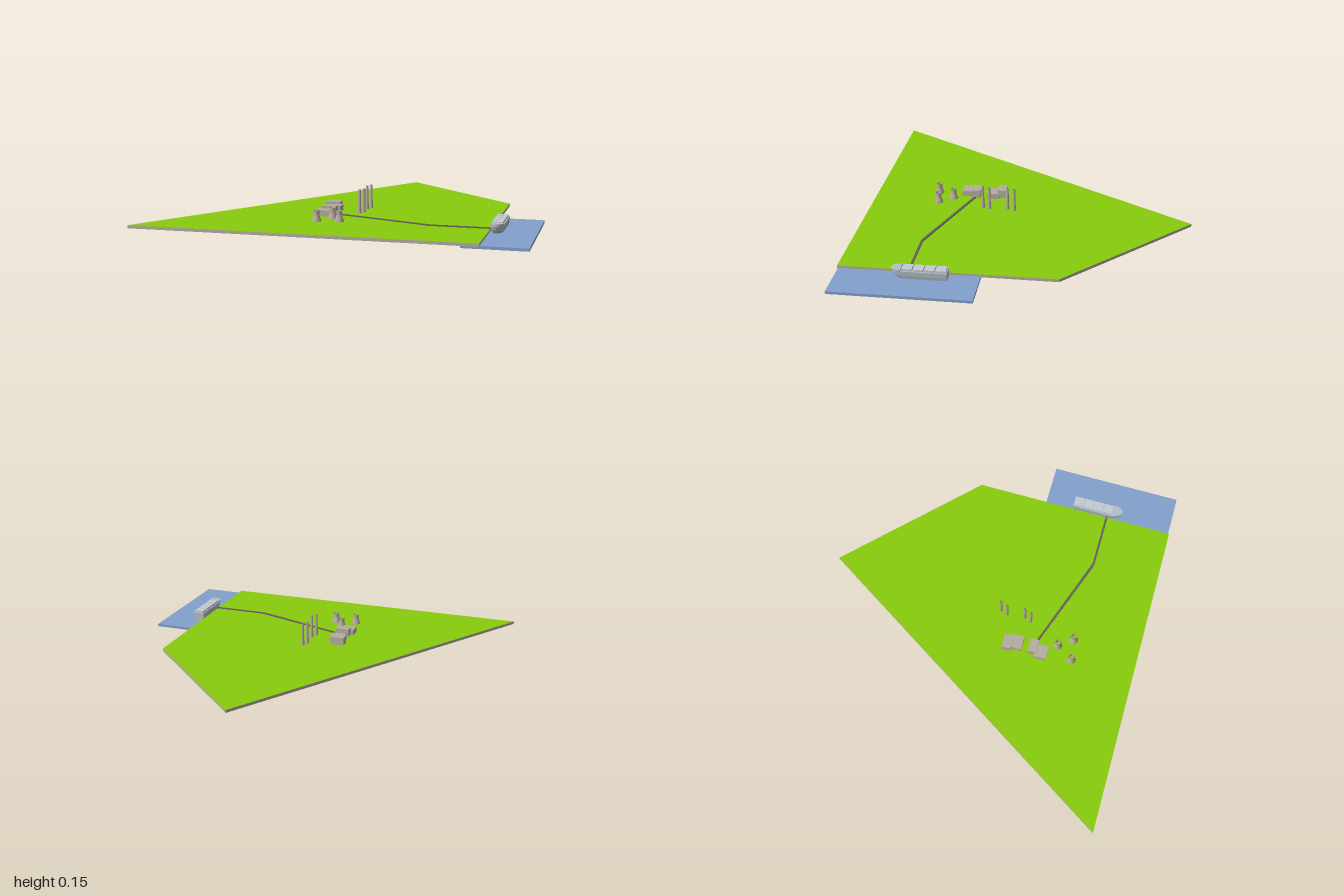
import * as THREE from 'three';

const mat = (color, extra = {}) => new THREE.MeshStandardMaterial({ color, ...extra });
const stone = mat(0xb5ada0);
const grass = mat(0x88cc0c);
const water = mat(0x82a0cc);
const roadGrey = mat(0x66625e);
const hullGrey = mat(0xb4bfc8);
const cargoGrey = mat(0xc4cbd2);

function add(parent, name, geometry, material, x = 0, y = 0, z = 0) {
  const mesh = new THREE.Mesh(geometry, material);
  mesh.name = name;
  mesh.position.set(x, y, z);
  parent.add(mesh);
  return mesh;
}

// Box given by its limits on each axis
function block(parent, name, material, [x0, x1], [y0, y1], [z0, z1]) {
  return add(parent, name, new THREE.BoxGeometry(x1 - x0, y1 - y0, z1 - z0), material,
    (x0 + x1) / 2, (y0 + y1) / 2, (z0 + z1) / 2);
}

// Flat slab from a plan outline of [x, z] points, standing on y0
function slab(parent, name, plan, y0, y1, materials) {
  const shape = new THREE.Shape(plan.map(([x, z]) => new THREE.Vector2(x, -z)));
  const geometry = new THREE.ExtrudeGeometry(shape, { depth: y1 - y0, bevelEnabled: false });
  geometry.rotateX(-Math.PI / 2);
  return add(parent, name, geometry, materials, 0, y0, 0);
}

// Hollow tower turned from [radius, y] points
function turned(parent, name, profile, x, z, sides) {
  const points = profile.map(([r, y]) => new THREE.Vector2(r, y));
  add(parent, name, new THREE.LatheGeometry(points, sides),
    mat(0xb5ada0, { side: THREE.DoubleSide }), x, 0, z);
}

// Ship hull: rounded bow at +z, square stern, narrowing towards the keel
function hullGeometry() {
  const rings = [[0.013, 0.84, 0.565], [0.03, 0.95, 0.58], [0.056, 1, 0.592]];
  const steps = 10;
  const count = steps + 3;
  const positions = [];
  const index = [];
  for (const [y, widen, bow] of rings) {
    const half = 0.033 * widen;
    positions.push(-half, y, 0.312);
    for (let i = 0; i <= steps; i++) {
      const a = Math.PI * i / steps;
      positions.push(-half * Math.cos(a), y, bow - 0.045 + 0.045 * Math.sin(a));
    }
    positions.push(half, y, 0.312);
  }
  for (let r = 0; r < rings.length - 1; r++) {
    for (let i = 0; i < count; i++) {
      const a = r * count + i;
      const b = r * count + (i + 1) % count;
      index.push(a, b, b + count, a, b + count, a + count);
    }
  }
  // Keel and deck caps
  const top = (rings.length - 1) * count;
  for (let i = 1; i < count - 1; i++) {
    index.push(0, i + 1, i, top, top + i, top + i + 1);
  }
  const geometry = new THREE.BufferGeometry();
  geometry.setAttribute('position', new THREE.Float32BufferAttribute(positions, 3));
  geometry.setIndex(index);
  const flat = geometry.toNonIndexed();
  flat.computeVertexNormals();
  return flat;
}

export function createModel() {
  const model = new THREE.Group();
  model.name = 'coastalPowerStation';

  // Ground with a grass top, and the sea beside it
  const outline = [[-1, 0.885], [0.77, 0.885], [0.77, -0.235], [0.1, -0.885]];
  slab(model, 'land', outline, 0.011, 0.025, stone);
  slab(model, 'grass', outline, 0.025, 0.0265, [grass, stone]);
  block(model, 'water', water, [0.68, 1], [0, 0.0145], [0.155, 0.88]);

  // Road from the plant to the shore
  const w = 0.006;
  slab(model, 'road', [
    [-0.08, 0.325 - w], [0.45, 0.508 - w], [0.475, 0.515 - w], [0.78, 0.515 - w],
    [0.78, 0.515 + w], [0.468, 0.515 + w], [0.44, 0.508 + w], [-0.08, 0.325 + w],
  ], 0.02, 0.032, roadGrey);

  // Two plant buildings, each a tall hall joined to a lower one
  const plant = new THREE.Group();
  plant.name = 'plant';
  model.add(plant);
  block(plant, 'tallHall', stone, [-0.166, -0.09], [0.012, 0.071], [0.15, 0.2]);
  block(plant, 'lowHall', stone, [-0.15, -0.073], [0.006, 0.058], [0.19, 0.257]);
  block(plant, 'tallHall', stone, [-0.15, -0.073], [0.012, 0.071], [0.295, 0.342]);
  block(plant, 'lowHall', stone, [-0.166, -0.09], [0.006, 0.058], [0.334, 0.4]);

  // Cooling towers
  const towerProfile = [
    [0.025, 0.02], [0.025, 0.028], [0.02, 0.042], [0.015, 0.06], [0.0145, 0.07], [0.016, 0.083],
    [0.0135, 0.083], [0.0115, 0.07], [0.0125, 0.06], [0.016, 0.042], [0.02, 0.028],
  ];
  for (const [x, z] of [[-0.06, 0.445], [-0.003, 0.52], [-0.119, 0.537]]) {
    turned(model, 'coolingTower', towerProfile, x, z, 24);
  }

  // Chimneys
  const chimneyProfile = [
    [0.0105, 0.02], [0.0095, 0.045], [0.0075, 0.075], [0.0075, 0.153], [0.0045, 0.153], [0.0045, 0.1], [0, 0.1],
  ];
  for (const [x, z] of [[0.054, 0.085], [0.041, 0.124], [0.049, 0.224], [0.035, 0.262]]) {
    turned(model, 'chimney', chimneyProfile, x, z, 16);
  }

  // Cargo ship at the shore
  const ship = new THREE.Group();
  ship.name = 'ship';
  model.add(ship);
  add(ship, 'hull', hullGeometry(), hullGrey, 0.806, 0, 0);
  for (let i = 0; i < 4; i++) {
    const z = 0.318 + i * 0.0565;
    block(ship, 'cargoHold', cargoGrey, [0.779, 0.833], [0.05, 0.067], [z, z + 0.05]);
  }
  // Raised foredeck
  const foredeck = new THREE.CylinderGeometry(0.033, 0.032, 0.014, 20, 1, false, -Math.PI / 2, Math.PI);
  foredeck.scale(1, 1, 1.4);
  add(ship, 'foredeck', foredeck, hullGrey, 0.806, 0.057, 0.549);
  block(ship, 'foredeckBulkhead', hullGrey, [0.773, 0.839], [0.05, 0.064], [0.545, 0.55]);

  return model;
}
